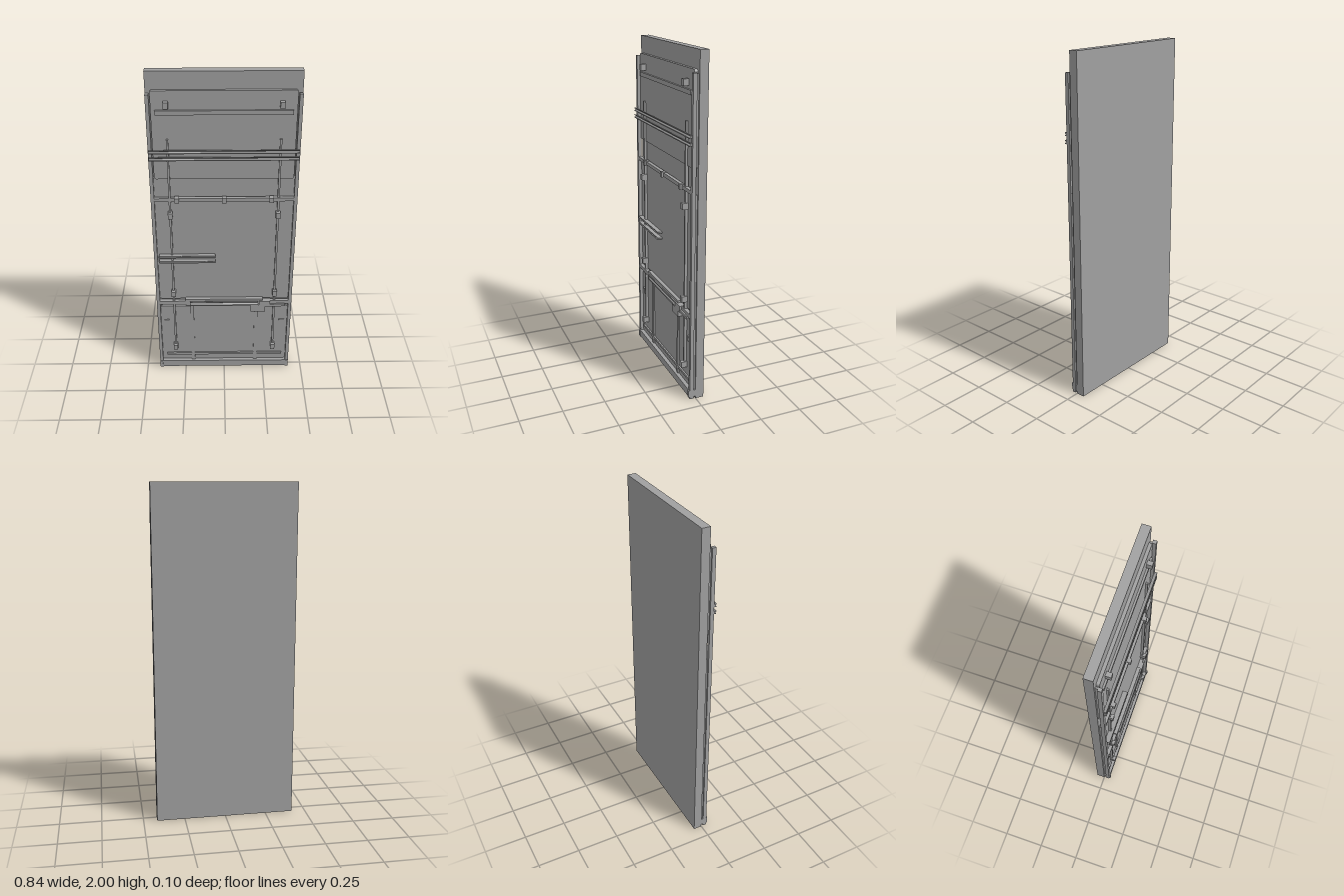
import * as THREE from 'three';

export function createModel() {
  const model = new THREE.Group();
  model.name = 'panelAssembly';
  const grey = new THREE.MeshStandardMaterial({ color: 0xa0a0a0 });
  grey.name = 'grey';

  const add = (name, geometry) => {
    const mesh = new THREE.Mesh(geometry, grey);
    mesh.name = name;
    model.add(mesh);
    return mesh;
  };
  // Box given by its limits on each axis
  const box = (name, x0, x1, y0, y1, z0, z1) => {
    const m = add(name, new THREE.BoxGeometry(x1 - x0, y1 - y0, z1 - z0));
    m.position.set((x0 + x1) / 2, (y0 + y1) / 2, (z0 + z1) / 2);
    return m;
  };
  // Sheet with small rounded corners, its back on the panel
  const sheet = (name, w, y0, y1, depth, r = 0.012) => {
    const s = new THREE.Shape();
    s.moveTo(-w + r, y0);
    s.lineTo(w - r, y0);
    s.absarc(w - r, y0 + r, r, -Math.PI / 2, 0);
    s.absarc(w - r, y1 - r, r, 0, Math.PI / 2);
    s.absarc(-w + r, y1 - r, r, Math.PI / 2, Math.PI);
    s.absarc(-w + r, y0 + r, r, Math.PI, Math.PI * 1.5);
    add(name, new THREE.ExtrudeGeometry(s, { depth, bevelEnabled: false, curveSegments: 4 }));
  };
  // Horizontal bar with a shallow V groove along its front
  const groovedBar = (name, x0, x1, y, h, z0, z1) => {
    const s = new THREE.Shape();
    const mid = z0 + (z1 - z0) * 0.45;
    [[-z0, -h / 4], [-z0, h / 4], [-z1, h / 2], [-z1, h / 4], [-mid, 0], [-z1, -h / 4], [-z1, -h / 2]]
      .forEach(([a, b], i) => (i ? s.lineTo(a, b) : s.moveTo(a, b)));
    const g = new THREE.ExtrudeGeometry(s, { depth: x1 - x0, bevelEnabled: false });
    g.rotateY(Math.PI / 2);
    g.translate(x0, y, 0);
    add(name, g);
  };

  // Backing panel and the three raised sheets
  box('backPanel', -0.418, 0.418, 0, 2, -0.05, 0);
  sheet('upperSheet', 0.392, 1.38, 1.9, 0.018);
  sheet('middleSheet', 0.397, 0.545, 1.24, 0.014);
  sheet('lowerSheet', 0.397, 0.055, 0.485, 0.014);

  // Sill
  box('sill', -0.412, 0.412, 0.01, 0.055, 0, 0.038);

  for (const s of [-1, 1]) {
    // Side rails with a narrow inner lip
    box('sideRail', s * 0.407 - 0.01, s * 0.407 + 0.01, 0, 1.885, 0.013, 0.035);
    box('railFoot', s * 0.407 - 0.008, s * 0.407 + 0.008, 0.012, 0.055, 0, 0.043);
    box('railWeb', s * 0.402 - 0.005, s * 0.402 + 0.005, 0, 1.24, 0, 0.013);
    box('railWebTop', s * 0.402 - 0.005, s * 0.402 + 0.005, 1.39, 1.88, 0, 0.013);

    // Vertical strips and their clips
    box('verticalStrip', s * 0.31 - 0.006, s * 0.31 + 0.006, 0.175, 1.624, 0.012, 0.03);
    for (const y of [1.826, 1.154, 0.598, 0.177])
      box('clip', s * 0.31 - 0.013, s * 0.31 + 0.013, y - 0.018, y + 0.018, 0.014, 0.049);

    // Lower uprights
    box('lowerUpright', s * 0.2 - 0.011, s * 0.2 + 0.011, 0.055, 0.5, 0.012, 0.022);

    // Small L hooks
    box('hookArm', s * 0.362 - 0.016, s * 0.362 + 0.016, 0.372, 0.38, 0.012, 0.022);
    box('hookLeg', s * 0.35 - 0.004, s * 0.35 + 0.004, 0.345, 0.372, 0.012, 0.022);
  }

  // Thin stiffeners near the top and the bottom
  box('topStiffener', -0.37, 0.37, 1.767, 1.792, 0.016, 0.029);
  box('bottomStiffener', -0.37, 0.37, 0.095, 0.11, 0.012, 0.024);

  // Long and short pairs of grooved bars
  for (const y of [1.56, 1.518]) groovedBar('longBar', -0.414, 0.414, y, 0.022, 0.033, 0.05);
  for (const y of [0.872, 0.835]) groovedBar('shortBar', -0.386, -0.053, y, 0.014, 0.014, 0.045);

  // Upper cross rail with joints
  box('upperCrossRail', -0.4, 0.4, 1.243, 1.264, 0.012, 0.034);
  for (const x of [-0.27, 0, 0.27])
    box('railJoint', x - 0.013, x + 0.013, 1.238, 1.269, 0.014, 0.046);

  // Lower cross rail with its latch housing
  box('lowerCrossRail', -0.4, 0.4, 0.513, 0.537, 0.012, 0.034);
  box('latchBeam', -0.238, 0.238, 0.505, 0.553, 0.012, 0.037);
  groovedBar('latchBar', -0.21, 0.21, 0.526, 0.034, 0.03, 0.048);
  box('latchBox', 0.165, 0.255, 0.46, 0.512, 0.012, 0.044);
  box('latchArm', 0.255, 0.375, 0.5, 0.516, 0.012, 0.044);
  box('latchPlate', 0.215, 0.285, 0.512, 0.54, 0.012, 0.046);
  return model;
}
